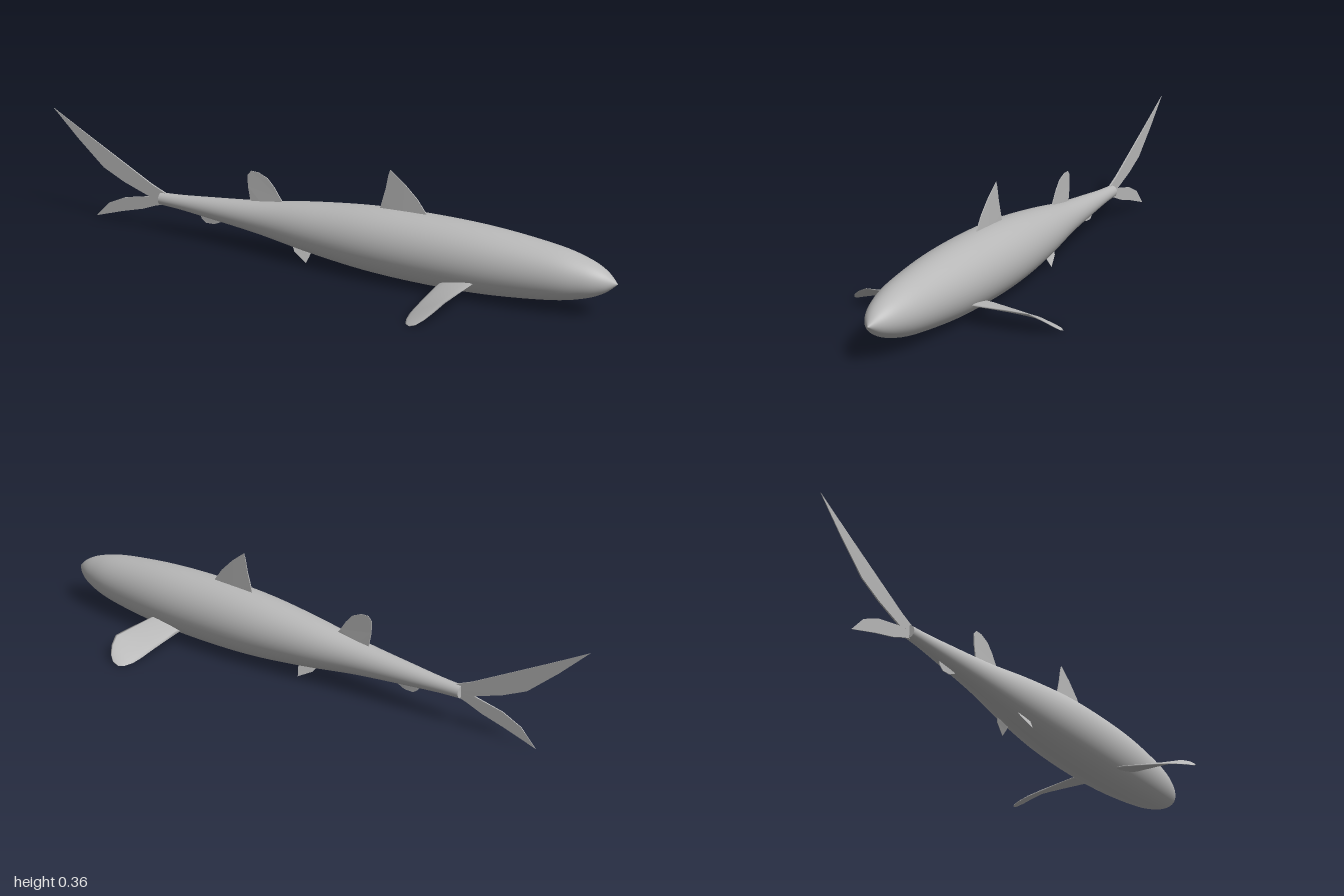
import * as THREE from 'three';

const AXIS_Y = 0.114;
const skin = new THREE.MeshStandardMaterial({ color: 0xb8b8b8, side: THREE.DoubleSide });
skin.name = 'grey skin';

function addMesh(group, name, geometry) {
  const mesh = new THREE.Mesh(geometry, skin);
  mesh.name = name;
  group.add(mesh);
  return mesh;
}

// Thin upright fin: outline in x/y, thinning away from its first (root) point
function finGeometry(points, thickness = 0.006) {
  const shape = new THREE.Shape(points.map(([x, y]) => new THREE.Vector2(x, y)));
  const geo = new THREE.ExtrudeGeometry(shape, { depth: thickness, bevelEnabled: false });
  geo.translate(0, 0, -thickness / 2);
  const [rx, ry] = points[0];
  const reach = Math.max(...points.map(([x, y]) => Math.hypot(x - rx, y - ry)));
  const p = geo.attributes.position;
  for (let i = 0; i < p.count; i++) {
    const t = Math.hypot(p.getX(i) - rx, p.getY(i) - ry) / reach;
    p.setZ(i, p.getZ(i) * (1 - 0.75 * t));
  }
  geo.computeVertexNormals();
  return geo;
}

// Lens-shaped cross-sections lofted outwards along z
function pectoralGeometry(side) {
  // z, trailing x, trailing y, leading x, leading y, thickness
  const sections = [
    [0.06, 0.47, 0.044, 0.585, 0.068, 0.016],
    [0.10, 0.47, 0.041, 0.585, 0.066, 0.014],
    [0.20, 0.47, 0.026, 0.582, 0.065, 0.010],
    [0.265, 0.47, 0.014, 0.58, 0.064, 0.008],
    [0.30, 0.475, 0.007, 0.565, 0.046, 0.006],
    [0.325, 0.486, 0.004, 0.545, 0.026, 0.005],
    [0.337, 0.502, 0.004, 0.525, 0.012, 0.003],
  ];
  const n = 12, pos = [], index = [];
  for (const [z, tx, ty, lx, ly, thick] of sections) {
    for (let j = 0; j < n; j++) {
      const a = (j / n) * Math.PI * 2;
      const t = 0.5 + 0.5 * Math.cos(a);
      pos.push(tx + (lx - tx) * t, ty + (ly - ty) * t + Math.sin(a) * thick / 2, z * side);
    }
  }
  const tri = (a, b, c) => (side > 0 ? index.push(a, b, c) : index.push(a, c, b));
  for (let i = 0; i < sections.length - 1; i++) {
    for (let j = 0; j < n; j++) {
      const a = i * n + j, b = i * n + (j + 1) % n;
      tri(a, b, b + n);
      tri(a, b + n, a + n);
    }
  }
  const last = (sections.length - 1) * n;
  for (let j = 1; j < n - 1; j++) tri(last, last + j, last + j + 1);
  const geo = new THREE.BufferGeometry();
  geo.setAttribute('position', new THREE.Float32BufferAttribute(pos, 3));
  geo.setIndex(index);
  geo.computeVertexNormals();
  return geo;
}

export function createModel() {
  const model = new THREE.Group();
  model.name = 'shark';

  // Spindle body, nose towards +x
  const profile = new THREE.SplineCurve([
    [0.02, -0.575], [0.024, -0.5], [0.033, -0.4], [0.053, -0.2], [0.081, 0], [0.101, 0.2],
    [0.107, 0.4], [0.102, 0.6], [0.082, 0.8], [0.06, 0.9], [0.034, 0.96], [0, 1],
  ].map(([r, x]) => new THREE.Vector2(r, x))).getPoints(60);
  profile.forEach((p) => { p.x = Math.max(p.x, 0); });
  const body = addMesh(model, 'body', new THREE.LatheGeometry(profile, 48));
  body.rotation.z = -Math.PI / 2;
  body.position.y = AXIS_Y;

  // Closed end of the tail stalk
  const cap = addMesh(model, 'tailStalkCap', new THREE.CircleGeometry(0.02, 32));
  cap.rotation.y = -Math.PI / 2;
  cap.position.set(-0.575, AXIS_Y, 0);

  // Upright fins, each listed from its root
  const fins = {
    dorsalFin: [[0.31, 0.2], [0.39, 0.215], [0.383, 0.226], [0.355, 0.263], [0.31, 0.306],
      [0.262, 0.342], [0.256, 0.325], [0.248, 0.282], [0.236, 0.24], [0.225, 0.2]],
    secondDorsalFin: [[-0.18, 0.15], [-0.11, 0.17], [-0.125, 0.19], [-0.145, 0.22], [-0.17, 0.247],
      [-0.203, 0.261], [-0.23, 0.262], [-0.243, 0.247], [-0.242, 0.21], [-0.23, 0.15]],
    analFin: [[-0.37, 0.095], [-0.425, 0.09], [-0.419, 0.072], [-0.402, 0.06], [-0.37, 0.061],
      [-0.345, 0.072], [-0.325, 0.09]],
    upperTailLobe: [[-0.55, 0.115], [-0.55, 0.132], [-0.61, 0.157], [-0.74, 0.225], [-0.87, 0.293],
      [-0.997, 0.361], [-0.9, 0.27], [-0.8, 0.185], [-0.72, 0.148], [-0.62, 0.114]],
    lowerTailLobe: [[-0.55, 0.115], [-0.62, 0.114], [-0.72, 0.094], [-0.785, 0.065], [-0.837, 0.012],
      [-0.73, 0.045], [-0.65, 0.066], [-0.6, 0.085], [-0.55, 0.1]],
  };
  for (const [name, points] of Object.entries(fins)) addMesh(model, name, finGeometry(points));

  for (const [label, side] of [['left', 1], ['right', -1]]) {
    addMesh(model, `${label}SidePectoralFin`, pectoralGeometry(side));

    // Small pelvic fin leaning outwards
    const pelvic = finGeometry([[-0.02, 0.055], [-0.06, 0.055], [-0.048, 0.038], [0, 0.013],
      [0.006, 0.03], [0.012, 0.055]], 0.003);
    const p = pelvic.attributes.position;
    for (let i = 0; i < p.count; i++) {
      p.setZ(i, p.getZ(i) + side * (0.055 - (p.getY(i) - 0.013) * 0.5));
    }
    pelvic.computeVertexNormals();
    addMesh(model, `${label}SidePelvicFin`, pelvic);
  }
  return model;
}
